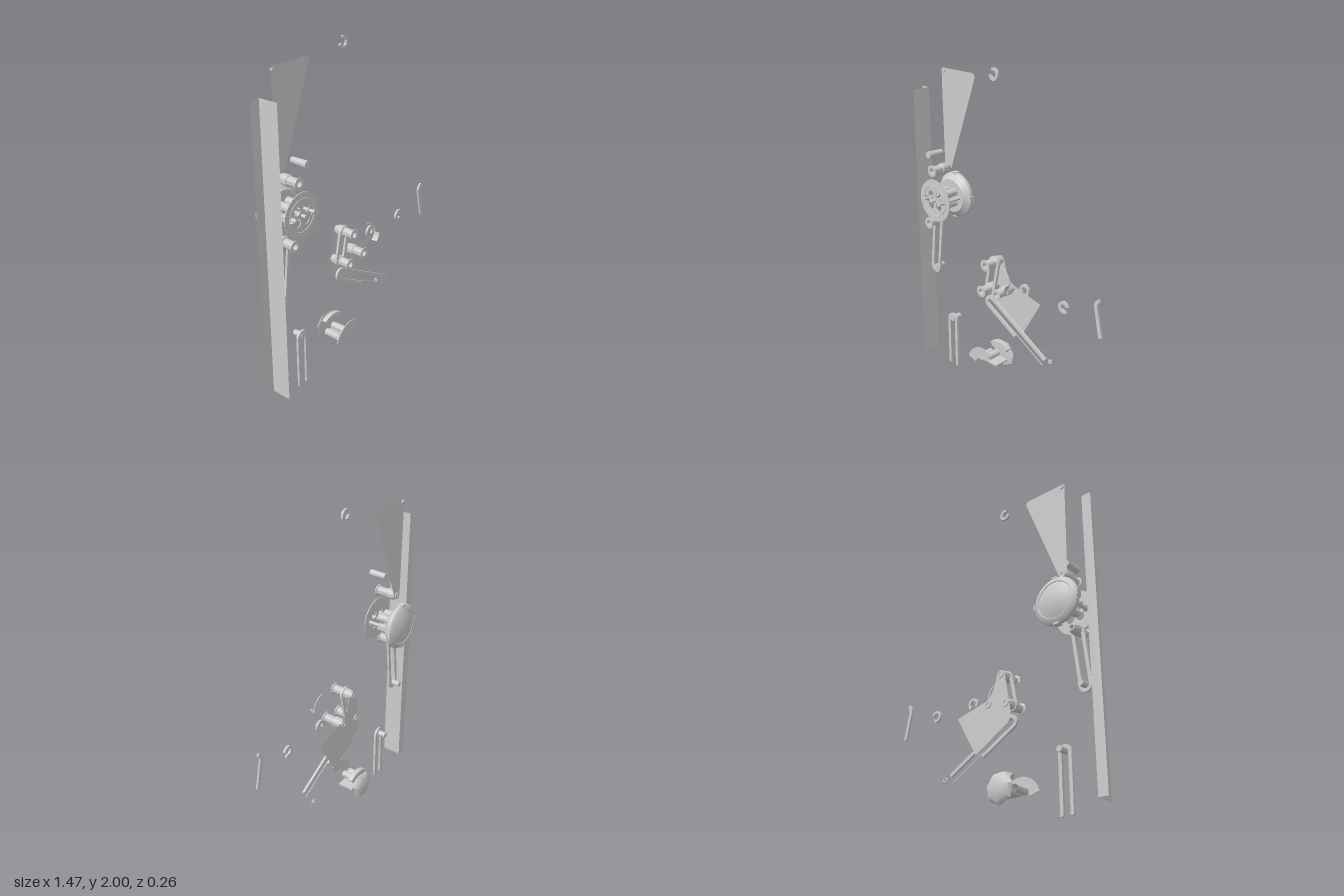
import * as THREE from 'three';
import { toCreasedNormals } from 'three/addons/utils/BufferGeometryUtils.js';

const material = new THREE.MeshStandardMaterial({ color: 0xcccccc, side: THREE.DoubleSide });

export function createModel() {
  const root = new THREE.Group();

  function add(name, geometry, x = 0, y = 0, z = 0, angle = 0) {
    const mesh = new THREE.Mesh(toCreasedNormals(geometry, 0.6), material);
    mesh.name = name;
    mesh.position.set(x, y, z);
    mesh.rotation.z = angle;
    root.add(mesh);
    return mesh;
  }
  const points = list => list.map(p => new THREE.Vector2(p[0], p[1]));
  // Profile of [radius, z] turned around the z axis
  const lathe = (profile, segments = 32) =>
    new THREE.LatheGeometry(points(profile), segments).rotateX(Math.PI / 2);
  const extrude = (shape, depth) =>
    new THREE.ExtrudeGeometry(shape, { depth, bevelEnabled: false, curveSegments: 16 });
  // Cylinder along z between two depths
  function pin(name, x, y, r, z0, z1, rFront = r, open = false) {
    const g = new THREE.CylinderGeometry(rFront, r, z1 - z0, 20, 1, open).rotateX(Math.PI / 2);
    return add(name, g, x, y, (z0 + z1) / 2);
  }
  function hole(shape, x, y, r) {
    const path = new THREE.Path();
    path.absarc(x, y, r, 0, Math.PI * 2, true);
    shape.holes.push(path);
  }
  // Flat annular sector
  function arcShape(rOut, rIn, a0, a1) {
    const s = new THREE.Shape();
    s.absarc(0, 0, rOut, a0, a1, false);
    s.absarc(0, 0, rIn, a1, a0, true);
    return s;
  }

  // Angle rail: two thin flanges
  add('railSide', new THREE.PlaneGeometry(0.12, 1.755).rotateY(Math.PI / 2), -0.675, 0.9275, 0.03);
  add('railBack', new THREE.PlaneGeometry(0.06, 1.755), -0.705, 0.9275, -0.03);

  // Tapering upper plate with rounded corners
  const blade = new THREE.Shape();
  blade.moveTo(-0.565, 1.34);
  blade.lineTo(-0.572, 1.92);
  blade.quadraticCurveTo(-0.572, 1.934, -0.56, 1.934);
  blade.lineTo(-0.315, 1.934);
  blade.quadraticCurveTo(-0.285, 1.934, -0.293, 1.9);
  blade.lineTo(-0.507, 1.335);
  blade.quadraticCurveTo(-0.535, 1.29, -0.565, 1.34);
  add('upperPlate', new THREE.ShapeGeometry(blade), 0, 0, -0.045);
  pin('upperPlateStud', -0.555, 1.915, 0.012, -0.055, -0.04);
  pin('upperPlatePeg', -0.515, 1.447, 0.018, 0.025, 0.13, 0.021);

  // Lower plate with a hollowed upper edge
  const lower = new THREE.Shape();
  lower.moveTo(-0.055, 0.86);
  lower.quadraticCurveTo(-0.03, 0.73, 0.04, 0.715);
  lower.lineTo(0.24, 0.665);
  lower.lineTo(0.1, 0.42);
  lower.lineTo(-0.13, 0.555);
  lower.quadraticCurveTo(-0.155, 0.575, -0.152, 0.62);
  lower.lineTo(-0.11, 0.87);
  lower.quadraticCurveTo(-0.08, 0.9, -0.055, 0.86);
  add('lowerPlate', new THREE.ShapeGeometry(lower), 0, 0, -0.045);

  // Hollow pivot bosses
  const bossProfile = [[0.017, 0.09], [0.036, 0.09], [0.036, 0.085], [0.026, 0.08], [0.026, 0.022],
    [0.032, 0.017], [0.031, -0.02], [0.021, -0.05], [0.012, -0.05], [0.017, 0.09]];
  for (const [x, y] of [[-0.535, 1.335], [-0.58, 0.99], [-0.083, 0.855], [-0.118, 0.675], [0.008, 0.695]])
    add('pivotBoss', lathe(bossProfile, 24), x, y);

  // Slotted link: closed loop, or an open fork with separate arm lengths
  function link(name, x0, y0, x1, y1, arms) {
    const angle = Math.atan2(x1 - x0, y0 - y1);
    const length = Math.hypot(x1 - x0, y1 - y0);
    const R = 0.042, r = 0.021;
    const s = new THREE.Shape();
    s.absarc(0, 0, R, 0, Math.PI, false);
    if (arms) {
      s.lineTo(-R, -arms[0]);
      s.lineTo(-r, -arms[0]);
      s.absarc(0, 0, r, Math.PI, 0, true);
      s.lineTo(r, -arms[1]);
      s.lineTo(R, -arms[1]);
    } else {
      s.absarc(0, -length, R, Math.PI, Math.PI * 2, false);
      const slot = new THREE.Path();
      slot.absarc(0, 0, r, 0, Math.PI, false);
      slot.absarc(0, -length, r, Math.PI, Math.PI * 2, false);
      s.holes.push(slot);
    }
    add(name, extrude(s, 0.014), x0, y0, 0.003, angle);
  }
  link('sideLink', -0.58, 0.985, -0.615, 0.665);
  link('shortLink', -0.083, 0.85, -0.118, 0.68);
  link('uprightFork', -0.467, 0.33, -0.467, 0, [0.33, 0.33]);
  link('slantedFork', -0.115, 0.58, 0.33, 0.325, [0.26, 0.5]);
  add('forkEdge', new THREE.BoxGeometry(0.25, 0.004, 0.004), 0.207, 0.378, 0.01, -0.525);
  pin('sideLinkPin', -0.615, 0.66, 0.017, -0.045, 0.02);
  pin('forkPin', -0.467, 0.337, 0.018, -0.045, 0.02);
  add('endRing', new THREE.TorusGeometry(0.011, 0.005, 8, 16), 0.32, 0.315, -0.052);

  // Main drum: domed back with a thick rim
  const cx = -0.52, cy = 1.15;
  add('drum', lathe([[0, -0.133], [0.04, -0.13], [0.08, -0.122], [0.108, -0.111], [0.112, -0.114],
    [0.136, -0.105], [0.142, -0.098], [0.142, -0.08], [0.136, -0.073], [0.115, -0.06],
    [0.105, -0.047], [0, -0.047]], 48), cx, cy);
  for (let i = 0; i < 4; i++) {
    const a = i * Math.PI / 2;
    add('rimClip', new THREE.BoxGeometry(0.014, 0.035, 0.035),
      cx + 0.139 * Math.cos(a), cy + 0.139 * Math.sin(a), -0.09, a);
  }
  // Front flange with six holes, four spacer tubes and two pins
  const flange = new THREE.Shape();
  flange.absarc(0, 0, 0.132, 0, Math.PI * 2, false);
  for (const sx of [-1, 1]) {
    hole(flange, sx * 0.072, 0, 0.02);
    pin('drumPin', cx + sx * 0.072, cy, 0.01, -0.05, 0.112);
    for (const sy of [-1, 1]) {
      hole(flange, sx * 0.034, sy * 0.034, 0.024);
      pin('spacerTube', cx + sx * 0.034, cy + sy * 0.034, 0.024, -0.05, 0.042, 0.024, true);
    }
  }
  add('drumFlange', extrude(flange, 0.005), cx, cy, 0.081);
  add('flangeRib', new THREE.TorusGeometry(0.096, 0.003, 6, 40), cx, cy, 0.086);
  pin('drumAxle', cx, cy, 0.01, -0.05, 0.115);

  // Broken drum: dome piece, flange sector, floor plate and tubes
  const bx = -0.113, by = 0.15;
  const dome = lathe([[0, -0.131], [0.04, -0.128], [0.075, -0.117], [0.092, -0.1], [0.07, -0.096], [0, -0.107]], 7);
  add('brokenDome', dome, -0.118, 0.18);
  add('brokenFlange', extrude(arcShape(0.132, 0.065, 1.1, 2.88), 0.005), bx, by, 0.081);
  add('brokenRim', extrude(arcShape(0.125, 0.09, 0.9, 2.2), 0.03), bx, by, -0.08);
  add('brokenFloor', new THREE.BoxGeometry(0.12, 0.012, 0.1), -0.11, 0.163, -0.02);
  for (const [x, y] of [[-0.178, 0.183], [-0.12, 0.2]])
    pin('brokenTube', x, y, 0.022, -0.05, 0.042, 0.022, true);

  // Loose split rings
  for (const [x, y, start] of [[-0.08, 1.965, 3.3], [0.167, 0.755, 5.2], [0.463, 0.75, 0.3]])
    add('splitRing', extrude(arcShape(0.036, 0.019, start, start + 5), 0.013), x, y, 0.003);

  // Thin curved lip with a raised lower part
  add('curvedLip', extrude(arcShape(0.075, 0.066, -0.95, 1.65), 0.005), 0.046, 0.805, 0.083);
  add('lipWall', extrude(arcShape(0.073, 0.066, -0.9, -0.1), 0.035), 0.046, 0.805, 0.086);

  // Loose hooked bar
  const bar = new THREE.Shape();
  bar.moveTo(0.705, 0.885);
  bar.quadraticCurveTo(0.67, 0.865, 0.676, 0.83);
  bar.lineTo(0.714, 0.655);
  bar.lineTo(0.735, 0.66);
  bar.lineTo(0.697, 0.835);
  bar.quadraticCurveTo(0.695, 0.855, 0.712, 0.868);
  add('hookedBar', extrude(bar, 0.012), 0, 0, 0.002);

  return root;
}
